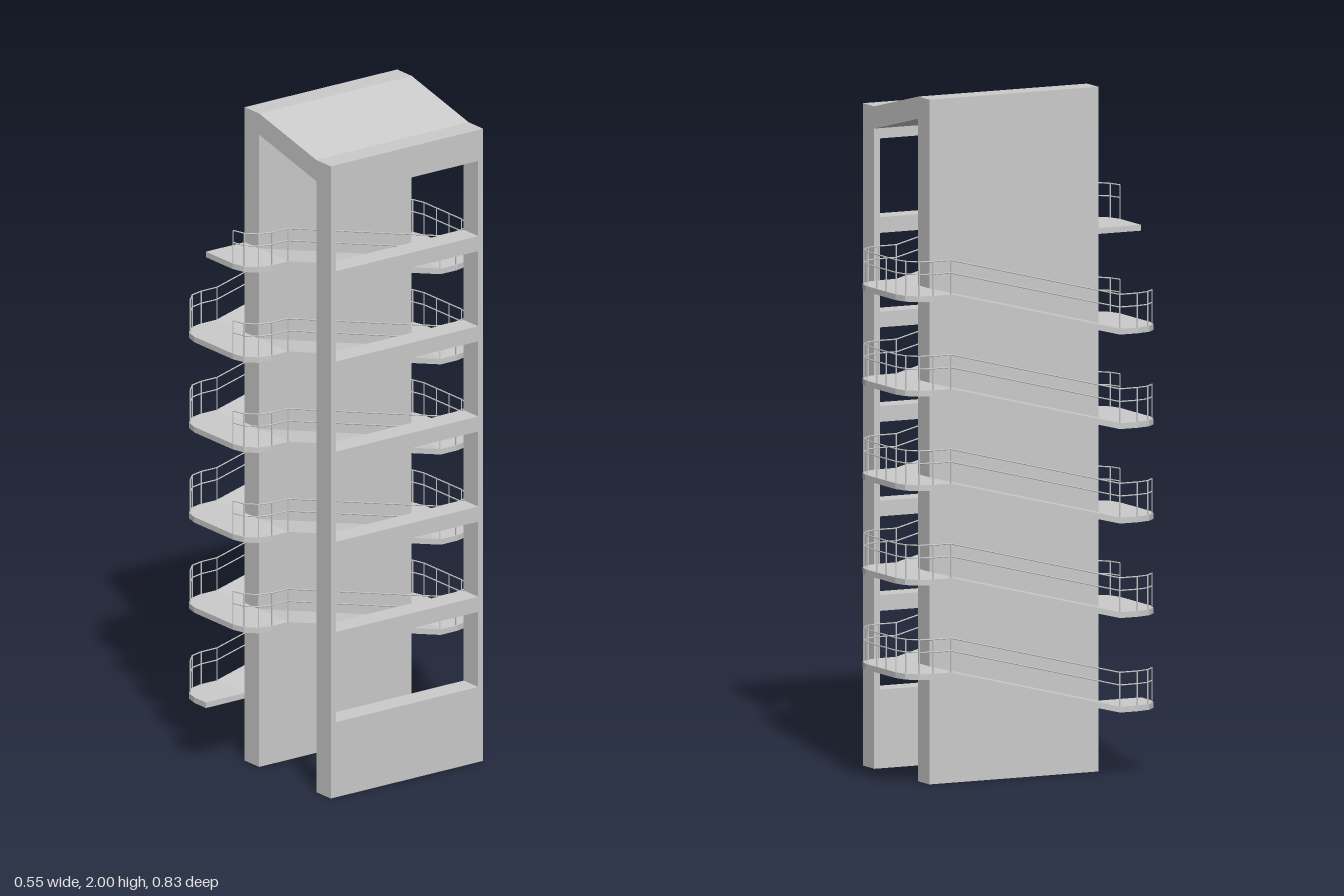
import * as THREE from 'three';
import { mergeGeometries } from 'three/addons/utils/BufferGeometryUtils.js';

const HALF = 0.275;              // half depth of the walls
const LEFT = -0.277, RIGHT = 0.07; // outer edges of the two ramp lanes
const SPINE = [-0.14, -0.07];    // x range of the tall central wall
const SLAB = 0.017, STEP = 0.276;
const frontY = (k) => 0.207 + STEP * k;
const backY = (k) => frontY(k) + STEP / 2;

const V = (x, y, z) => new THREE.Vector3(x, y, z);
const shapeOf = (pts) => new THREE.Shape(pts.map(([a, b]) => new THREE.Vector2(a, b)));
const rect = (a0, b0, a1, b1) => [[a0, b0], [a1, b0], [a1, b1], [a0, b1]];
const extrude = (shape, depth) => new THREE.ExtrudeGeometry(shape, { depth, bevelEnabled: false });

// Extrudes a (z, y) profile between x0 and x1
function extrudeX(shape, x0, x1) {
  return extrude(shape, x1 - x0).rotateY(-Math.PI / 2).translate(x1, 0, 0);
}

// Plan outline of a landing as [x, z], with optional faceted round corners
function outline(x0, x1, depth, roundL = true, roundR = true) {
  const r = 0.08, pts = [[x0, HALF]];
  const arc = (cx, start) => {
    for (let i = 0; i < 4; i++) {
      const a = start - i * Math.PI / 6;
      pts.push([cx + r * Math.cos(a), depth - r + r * Math.sin(a)]);
    }
  };
  if (roundL) arc(x0 + r, Math.PI); else pts.push([x0, depth]);
  if (roundR) arc(x1 - r, Math.PI / 2); else pts.push([x1, depth]);
  pts.push([x1, HALF]);
  return pts;
}

// Thin round bar between two points
function bar(a, b) {
  const dir = b.clone().sub(a), len = dir.length();
  const g = new THREE.CylinderGeometry(0.002, 0.002, len, 6);
  g.applyQuaternion(new THREE.Quaternion().setFromUnitVectors(V(0, 1, 0), dir.normalize()));
  return g.translate(...a.clone().add(b).multiplyScalar(0.5).toArray());
}

export function createModel() {
  const model = new THREE.Group();
  const mat = new THREE.MeshStandardMaterial({ color: 0xcccccc });
  const add = (name, geometry) => {
    const mesh = new THREE.Mesh(geometry, mat);
    mesh.name = name;
    model.add(mesh);
    return mesh;
  };

  // Central wall and sloping roof in one profile
  const frame = shapeOf([[SPINE[0], 0], [SPINE[1], 0], [SPINE[1], 1.935],
    [0.205, 1.87], [0.205, 1.935], [SPINE[1], 2], [SPINE[0], 2]]);
  add('centralWallAndRoof', extrude(frame, HALF * 2).translate(0, 0, -HALF));

  // Side wall with six openings
  const side = shapeOf(rect(-HALF, 0, HALF, 1.935));
  for (let k = 0; k < 6; k++) {
    const y = 0.23 + STEP * k;
    side.holes.push(new THREE.Path(
      rect(-0.257, y, 0.257, y + 0.23).map(([a, b]) => new THREE.Vector2(a, b))));
  }
  add('sideWall', extrudeX(side, 0.205, 0.275));

  // Landings
  const landing = (name, pts, y, back) => {
    const shape = shapeOf(pts.map(([x, z]) => [x, back ? -z : z]));
    add(name, extrude(shape, SLAB).rotateX(Math.PI / 2).translate(0, y, 0));
  };
  for (let k = 0; k < 6; k++) {
    const x0 = k === 5 ? SPINE[0] : LEFT, x1 = k === 0 ? SPINE[0] : RIGHT;
    landing('frontLanding', outline(x0, x1, 0.415, k !== 5, k !== 0), frontY(k), false);
    if (k < 5) landing('backLanding', outline(LEFT, RIGHT, 0.415), backY(k), true);
  }

  // Ramps and railings of each storey
  const ramp = (name, yFront, yBack, x0, x1) => add(name, extrudeX(shapeOf([
    [-HALF, yBack - SLAB], [HALF, yFront - SLAB], [HALF, yFront], [-HALF, yBack]]), x0, x1));
  const edge = outline(LEFT + 0.003, RIGHT - 0.003, 0.412);
  for (let k = 0; k < 5; k++) {
    const y0 = frontY(k), y1 = backY(k), y2 = frontY(k + 1);
    ramp('outerRamp', y0, y1, LEFT, SPINE[0]);
    ramp('innerRamp', y2, y1, SPINE[1], RIGHT);

    // One railing path: front corner, outer ramp, back landing, inner ramp, front corner
    const path = [
      ...[3, 2, 1, 0].map((i) => V(edge[i][0], y0, edge[i][1])),
      ...edge.map(([x, z]) => V(x, y1, -z)),
      ...[9, 8, 7, 6, 5].map((i) => V(edge[i][0], y2, edge[i][1])),
    ];
    const lift = (p, h) => V(p.x, p.y + h, p.z);
    const bars = [];
    for (const h of [0.063, 0.1]) {
      for (let i = 1; i < path.length; i++) bars.push(bar(lift(path[i - 1], h), lift(path[i], h)));
    }
    // Posts at the bends, plus two along the straight back edge
    const posts = [...path];
    for (const t of [1 / 3, 2 / 3]) posts.push(path[8].clone().lerp(path[9], t));
    for (const p of posts) bars.push(bar(p, lift(p, 0.1)));
    add('railing', mergeGeometries(bars));
  }
  return model;
}
